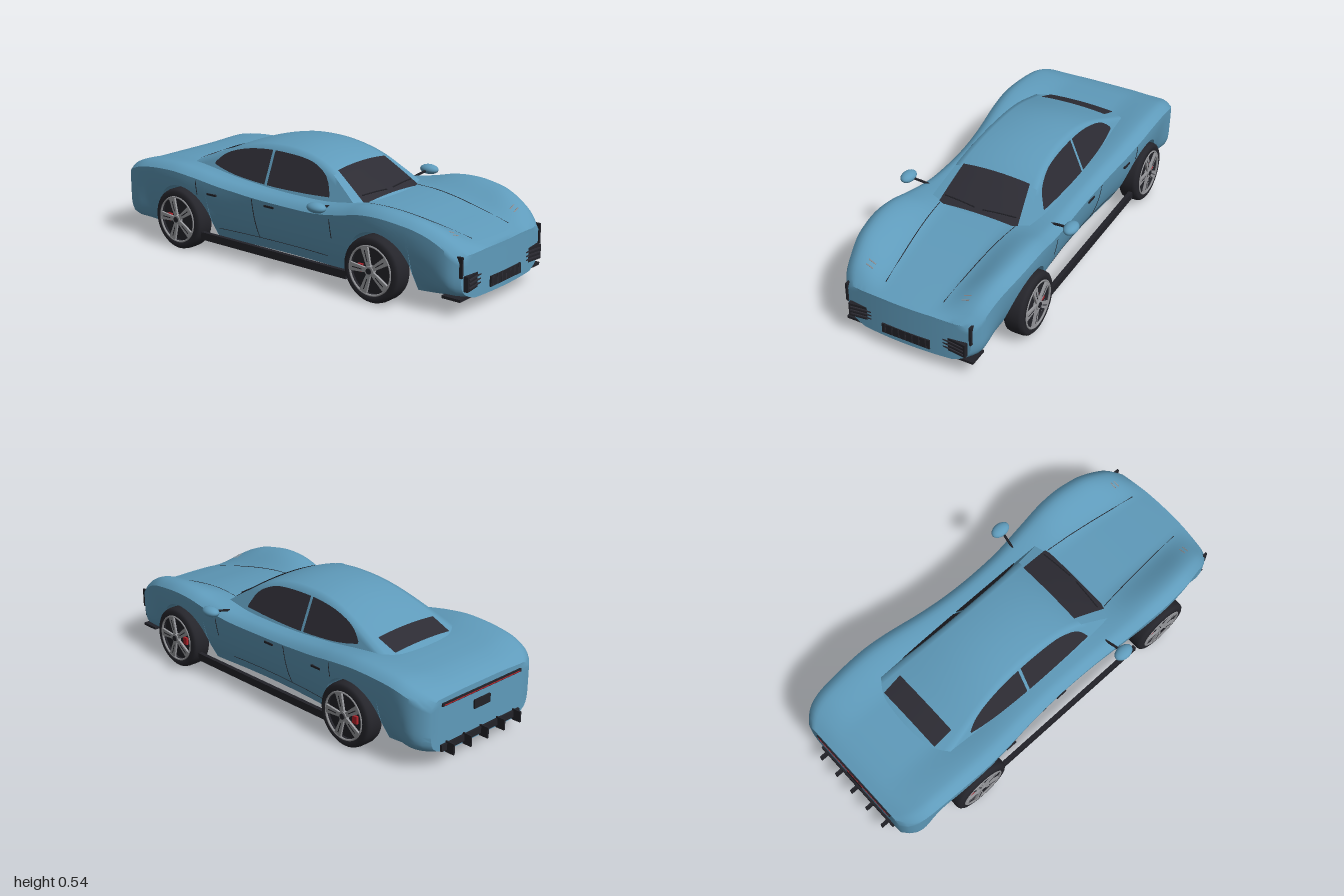
import * as THREE from 'three';
import { mergeGeometries, toCreasedNormals } from 'three/addons/utils/BufferGeometryUtils.js';

const mat = (name, color, side = THREE.FrontSide) => {
  const m = new THREE.MeshStandardMaterial({ color, side });
  m.name = name;
  return m;
};
const clamp = (t) => Math.min(1, Math.max(0, t));
const smooth = (t) => { t = clamp(t); return t * t * (3 - 2 * t); };
const lerp = THREE.MathUtils.lerp;

// smooth curve through [x, y] pairs
function curve(p) {
  const slope = p.map((_, i) => {
    const a = p[Math.max(0, i - 1)], b = p[Math.min(p.length - 1, i + 1)];
    return (b[1] - a[1]) / (b[0] - a[0]);
  });
  return (x) => {
    x = Math.min(p[p.length - 1][0], Math.max(p[0][0], x));
    let i = 0;
    while (i < p.length - 2 && x > p[i + 1][0]) i++;
    const h = p[i + 1][0] - p[i][0], t = (x - p[i][0]) / h, t2 = t * t, t3 = t2 * t;
    return (2 * t3 - 3 * t2 + 1) * p[i][1] + (t3 - 2 * t2 + t) * h * slope[i]
      + (3 * t2 - 2 * t3) * p[i + 1][1] + (t3 - t2) * h * slope[i + 1];
  };
}

// surface through rows of [x, y, z]
function loft(rows, closed = false, flip = false) {
  const n = rows[0].length, idx = [];
  for (let i = 0; i < rows.length - 1; i++) {
    for (let j = 0; j < (closed ? n : n - 1); j++) {
      const k = (j + 1) % n, a = i * n + j, b = a + n, c = i * n + k, d = c + n;
      if (flip) idx.push(a, c, b, b, c, d); else idx.push(a, b, c, b, d, c);
    }
  }
  const g = new THREE.BufferGeometry();
  g.setAttribute('position', new THREE.Float32BufferAttribute(rows.flat(2), 3));
  g.setIndex(idx);
  g.computeVertexNormals();
  return g;
}

// body rules: half width, fender crest, centre line, side tuck
const width = curve([[-0.955, 0.31], [-0.93, 0.34], [-0.88, 0.37], [-0.8, 0.385], [-0.55, 0.395], [-0.4, 0.387], [-0.2, 0.367],
  [0, 0.358], [0.2, 0.362], [0.4, 0.377], [0.6, 0.388], [0.75, 0.377], [0.85, 0.355], [0.93, 0.33], [0.965, 0.3]]);
const crest = curve([[-0.955, 0.315], [-0.9, 0.35], [-0.8, 0.385], [-0.6, 0.402], [-0.45, 0.39], [-0.3, 0.367], [-0.1, 0.347],
  [0.1, 0.342], [0.25, 0.347], [0.4, 0.372], [0.5, 0.395], [0.6, 0.403], [0.7, 0.395], [0.8, 0.374], [0.9, 0.322], [0.965, 0.258]]);
const centre = curve([[-0.955, 0.32], [-0.9, 0.348], [-0.8, 0.37], [-0.6, 0.375], [-0.3, 0.34], [0.2, 0.34], [0.4, 0.352],
  [0.6, 0.343], [0.8, 0.31], [0.9, 0.286], [0.965, 0.265]]);
const midTuck = curve([[0.065, 0.75], [0.1, 0.8], [0.14, 0.86], [0.2, 0.92], [0.26, 0.96], [0.33, 0.99], [0.4, 1]]);
const endTuck = curve([[0.065, 0.7], [0.08, 0.84], [0.1, 0.94], [0.14, 0.99], [0.2, 1], [0.4, 1]]);
const sideZ = (x, y) => width(x) * lerp(midTuck(y), endTuck(y), smooth(Math.max((x - 0.75) / 0.2, (-x - 0.72) / 0.2)));
const topY = (x, t) => centre(x) + (crest(x) - centre(x)) * smooth((t - 0.35) / 0.5) - 0.03 * clamp((t - 0.85) / 0.15) ** 2;
const bulge = ([x, y, z]) => [x + 0.03 * clamp((x - 0.7) / 0.265) ** 2 * (1 - (z / 0.33) ** 2), y, z];
const WHEELS = [-0.55, 0.588], ARCH = 0.16, HUB = 0.145, FLOOR = 0.066;

function bodyGeometry() {
  // stations along the length; the floor rises over each wheel
  const st = [];
  const span = (a, b, n) => { for (let i = 0; i <= n; i++) st.push([lerp(a, b, i / n), FLOOR]); };
  const arch = (c) => {
    for (let i = 0; i <= 24; i++) {
      const a = Math.PI * (1 - i / 24);
      st.push([c + ARCH * Math.cos(a), HUB + ARCH * Math.sin(a)]);
    }
  };
  span(-0.955, WHEELS[0] - ARCH - 0.002, 10);
  arch(WHEELS[0]);
  span(WHEELS[0] + ARCH + 0.002, WHEELS[1] - ARCH - 0.002, 20);
  arch(WHEELS[1]);
  span(WHEELS[1] + ARCH + 0.002, 0.965, 12);
  const rings = st.map(([x, floor]) => {
    const half = [], yTop = crest(x) - 0.03;
    for (let j = 0; j < 12; j++) {
      const y = lerp(floor, yTop, j / 12);
      half.push([x, y, sideZ(x, y)]);
    }
    for (let j = 0; j < 20; j++) {
      const t = 1 - (j / 20) ** 1.3;
      half.push([x, topY(x, t), t * sideZ(x, yTop)]);
    }
    const mirror = half.map(([a, b, c]) => [a, b, -c]).reverse();
    return [...half, [x, centre(x), 0], ...mirror].map(bulge);
  });
  const cap = (ring, flip) => {
    const rows = [], n = ring.length;
    for (let j = 0; j <= (n - 1) / 2; j++) {
      const a = ring[j], b = ring[n - 1 - j], row = [];
      for (let k = 0; k <= 12; k++) {
        const z = lerp(a[2], b[2], k / 12);
        row.push(flip ? [a[0], a[1], z] : bulge([0.965, a[1], z]));
      }
      rows.push(row);
    }
    return loft(rows, false, !flip);
  };
  const g = mergeGeometries([loft(rings, true), cap(rings[rings.length - 1], false), cap(rings[0], true)]);
  return toCreasedNormals(g, 0.7);
}

// cabin rules
const roofY = curve([[-0.7, 0.355], [-0.62, 0.388], [-0.5, 0.437], [-0.4, 0.478], [-0.3, 0.512], [-0.2, 0.533], [-0.1, 0.54],
  [0, 0.537], [0.1, 0.52], [0.2, 0.486], [0.3, 0.425], [0.4, 0.357], [0.43, 0.337]]);
const cabinZ = (y) => 0.245 - (y - 0.36) * 0.42;
const roofAt = (x, z) => roofY(x) - 0.016 * (z / cabinZ(roofY(x) - 0.016)) ** 2;

function cabinGeometry() {
  const rows = [];
  for (let i = 0; i <= 40; i++) {
    const x = lerp(-0.7, 0.43, i / 40), edge = roofY(x) - 0.016, half = [];
    for (let j = 0; j < 6; j++) {
      const y = lerp(0.29, edge, j / 6);
      half.push([x, y, cabinZ(y)]);
    }
    for (let j = 0; j < 8; j++) {
      const z = cabinZ(edge) * (1 - j / 8);
      half.push([x, roofAt(x, z), z]);
    }
    rows.push([...half, [x, roofY(x), 0], ...half.map(([a, b, c]) => [a, b, -c]).reverse()]);
  }
  return toCreasedNormals(loft(rows), 1.1);
}

// glass lying on the roof surface
function roofGlass(x0, w0, x1, w1) {
  const rows = [];
  for (let i = 0; i <= 10; i++) {
    const x = lerp(x0, x1, i / 10), w = lerp(w0, w1, i / 10), row = [];
    for (let j = 0; j <= 10; j++) {
      const z = w * (1 - j / 5);
      row.push([x, roofAt(x, z) + 0.005, z]);
    }
    rows.push(row);
  }
  return loft(rows);
}

// glass lying on the cabin side
const glassTop = curve([[-0.46, 0.405], [-0.42, 0.442], [-0.36, 0.47], [-0.25, 0.495], [-0.1, 0.505], [0.08, 0.495], [0.16, 0.468], [0.21, 0.43], [0.24, 0.372]]);
const glassBottom = curve([[-0.46, 0.395], [-0.4, 0.38], [-0.3, 0.365], [-0.1, 0.354], [0.1, 0.356], [0.24, 0.363]]);
function sideGlass(x0, x1, s) {
  const rows = [];
  for (let i = 0; i <= 16; i++) {
    const x = lerp(x0, x1, i / 16);
    rows.push([0, 0.5, 1].map((t) => {
      const y = lerp(glassBottom(x), glassTop(x), t);
      return [x, y, s * (cabinZ(y) + 0.004)];
    }));
  }
  return loft(rows, false, s < 0);
}

const line = (pts, r = 0.002) => new THREE.TubeGeometry(new THREE.CatmullRomCurve3(pts.map((p) => new THREE.Vector3(...p))), 20, r, 5);

export function createModel() {
  const paint = mat('blue paint', 0x5f9bbb), glass = mat('dark glass', 0x2d2c34, THREE.DoubleSide);
  const trim = mat('black trim', 0x222228), rubber = mat('tyre rubber', 0x25252b);
  const metal = mat('wheel metal', 0x96979b), red = mat('red brake', 0xb0222a);
  const car = new THREE.Group();
  car.name = 'car';
  const add = (name, geo, m, x = 0, y = 0, z = 0, parent = car) => {
    const mesh = new THREE.Mesh(geo, m);
    mesh.name = name;
    mesh.position.set(x, y, z);
    parent.add(mesh);
    return mesh;
  };
  const box = (name, m, sx, sy, sz, x, y, z) => add(name, new THREE.BoxGeometry(sx, sy, sz), m, x, y, z);

  add('body', bodyGeometry(), paint);
  add('cabin', cabinGeometry(), paint);
  add('windshield', roofGlass(0.225, 0.168, 0.4, 0.2), glass);
  add('rearWindow', roofGlass(-0.62, 0.17, -0.52, 0.172), glass);

  // wheel parts, outer face toward local +z
  const tyre = new THREE.LatheGeometry([[0.1, -0.047], [0.132, -0.047], [0.142, -0.038], [0.145, -0.025], [0.145, 0.025],
    [0.142, 0.038], [0.132, 0.047], [0.106, 0.047], [0.104, 0.03]].map((p) => new THREE.Vector2(...p)), 40).rotateX(Math.PI / 2);
  const disc = (r, d) => new THREE.CylinderGeometry(r, r, d, 32).rotateX(Math.PI / 2);
  const spokeShape = new THREE.Shape([[-0.01, 0.015], [0.01, 0.015], [0.019, 0.106], [-0.019, 0.106]].map((p) => new THREE.Vector2(...p)));
  const spoke = new THREE.ExtrudeGeometry(spokeShape, { depth: 0.01, bevelEnabled: false });

  for (const s of [1, -1]) {
    const side = s > 0 ? 'left' : 'right';
    for (const x of WHEELS) {
      const w = new THREE.Group();
      w.name = side + (x > 0 ? 'FrontWheel' : 'RearWheel');
      w.position.set(x, HUB, s * 0.358);
      if (s < 0) w.rotation.y = Math.PI;
      add('tyre', tyre, rubber, 0, 0, 0, w);
      add('wheelDish', disc(0.106, 0.07), trim, 0, 0, -0.006, w);
      add('rimRing', new THREE.TorusGeometry(0.107, 0.005, 6, 40), metal, 0, 0, 0.046, w);
      add('caliper', new THREE.BoxGeometry(0.025, 0.035, 0.012), red, -0.058 * s, 0, 0.034, w);
      for (let i = 0; i < 5; i++) {
        const a = i * Math.PI * 0.4 + 0.3;
        add('spoke', spoke, metal, 0, 0, 0.04, w).rotation.z = a;
        const slot = add('spokeSlot', new THREE.BoxGeometry(0.004, 0.05, 0.002), trim, -Math.sin(a) * 0.065, Math.cos(a) * 0.065, 0.05, w);
        slot.rotation.z = a;
      }
      add('hub', disc(0.022, 0.02), metal, 0, 0, 0.044, w);
      add('hubCap', disc(0.013, 0.006), trim, 0, 0, 0.055, w);
      car.add(w);
    }
    add('rearSideWindow', sideGlass(-0.46, -0.137, s), glass);
    add('frontSideWindow', sideGlass(-0.122, 0.24, s), glass);
    box('rocker', trim, 0.86, 0.036, 0.02, 0.015, 0.088, s * 0.375);

    // mirror, stalk and wiper
    add('mirror', new THREE.SphereGeometry(1, 24, 16).scale(0.048, 0.023, 0.032), paint, 0.306, 0.367, s * 0.413);
    add('mirrorStalk', line([[0.29, 0.335, s * 0.27], [0.295, 0.352, s * 0.33], [0.305, 0.364, s * 0.395]], 0.006), trim);
    add('wiper', line([0.02, 0.1, 0.18].map((z) => [0.385 - z * 0.1, roofAt(0.385 - z * 0.1, z) + 0.009, s * z]), 0.003), trim);

    // seams and door handles
    const onSide = (x, y) => [x, y, s * sideZ(x, y)];
    const rise = (x, a, b) => [0, 0.25, 0.5, 0.75, 1].map((t) => onSide(x, lerp(a, b, t)));
    add('doorSeam', line(rise(-0.12, 0.12, 0.315)), trim);
    add('frontDoorSeam', line(rise(0.335, 0.22, 0.31)), trim);
    add('rearDoorSeam', line(rise(-0.44, 0.28, 0.35)), trim);
    add('sillSeam', line([-0.36, -0.2, 0, 0.15, 0.28].map((x) => onSide(x, 0.12)), 0.0015), trim);
    for (const x of [-0.35, -0.02]) box('doorHandle', trim, 0.055, 0.009, 0.008, x, 0.294, s * (sideZ(x, 0.294) + 0.002));
    const onTop = (x, z) => bulge([x, topY(x, z / sideZ(x, crest(x) - 0.03)), s * z]);
    add('hoodSeam', line([0.4, 0.52, 0.64, 0.77, 0.9].map((x) => onTop(x, 0.19 - (x - 0.4) * 0.1))), trim);
    for (const x of [0.865, 0.885]) add('headlampBar', line([0.215, 0.235, 0.25].map((z) => onTop(x, z)), 0.003), metal);

    // nose intakes, corner blades and splitter ends
    const intake = box('sideIntake', trim, 0.02, 0.066, 0.145, 0.976, 0.142, s * 0.213);
    intake.rotation.y = s * 0.12;
    for (const y of [0.124, 0.142, 0.16]) box('intakeSlat', glass, 0.014, 0.006, 0.125, 0.984, y, s * 0.213).rotation.y = s * 0.12;
    box('cornerBlade', trim, 0.03, 0.09, 0.01, 0.963, 0.215, s * 0.3);
    box('splitterEnd', trim, 0.09, 0.012, 0.08, 0.93, 0.075, s * 0.27);
  }

  // centre grille
  box('centreGrille', trim, 0.02, 0.046, 0.232, 0.989, 0.112, 0);
  for (let i = -3; i <= 3; i++) box('grilleSlat', glass, 0.008, 0.042, 0.006, 0.996, 0.112, i * 0.033);

  // tail: light strip, plate and diffuser
  box('tailStrip', trim, 0.014, 0.014, 0.5, -0.955, 0.288, 0);
  box('tailLight', red, 0.016, 0.004, 0.48, -0.956, 0.286, 0);
  box('plate', trim, 0.012, 0.04, 0.1, -0.957, 0.225, 0);
  box('diffuser', trim, 0.02, 0.03, 0.5, -0.955, 0.093, 0);
  for (let i = -2; i <= 2; i++) box('diffuserFin', trim, 0.05, 0.05, 0.008, -0.975, 0.09, i * 0.107);
  return car;
}
